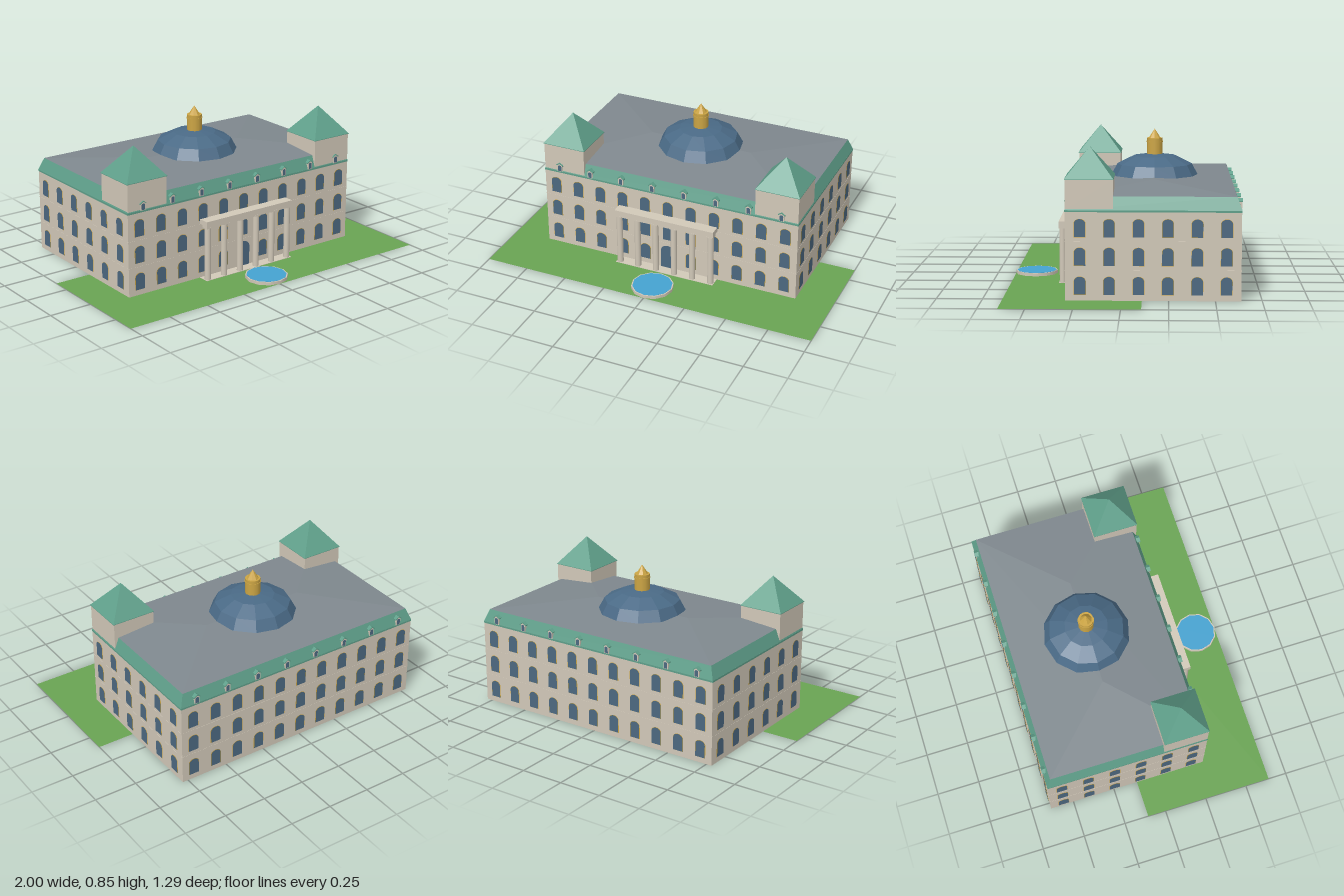
import * as THREE from 'three';

const mat = (name, color, extra = {}) => {
  const m = new THREE.MeshStandardMaterial({ color, ...extra });
  m.name = name;
  return m;
};

// Straight-sided solid between two centred rectangles (half sizes); depth 0 on top makes a ridge
function taperedBlock(w0, d0, y0, w1, d1, y1) {
  const ring = (w, d, y) => [[-w, y, d], [w, y, d], [w, y, -d], [-w, y, -d]];
  const a = ring(w0, d0, y0), b = ring(w1, d1, y1), pos = [];
  for (let i = 0; i < 4; i++) {
    const j = (i + 1) % 4;
    pos.push(...a[i], ...a[j], ...b[j], ...a[i], ...b[j], ...b[i]);
  }
  const g = new THREE.BufferGeometry();
  g.setAttribute('position', new THREE.Float32BufferAttribute(pos, 3));
  g.computeVertexNormals();
  return g;
}

// Opening with a flattened arch, standing on y = 0
function archGeometry(w, h) {
  const s = new THREE.Shape(), r = w / 2, rise = r * 0.8;
  s.moveTo(-r, 0);
  s.lineTo(r, 0);
  s.lineTo(r, h - rise);
  s.absellipse(0, h - rise, r, rise, 0, Math.PI, false);
  s.lineTo(-r, 0);
  return new THREE.ShapeGeometry(s, 8);
}

// Prism along z from a list of corner points
function prism(points, depth) {
  const shape = new THREE.Shape(points.map(p => new THREE.Vector2(...p)));
  return new THREE.ExtrudeGeometry(shape, { depth, bevelEnabled: false });
}

export function createModel() {
  const stone = mat('stone', 0xd1c8b8);
  const copper = mat('green copper', 0x5f9f8a);
  const slate = mat('grey slate', 0x7f888e);
  const domeBlue = mat('dome blue', 0x4a6a86, { flatShading: true, side: THREE.DoubleSide });
  const gold = mat('gold', 0xcca544);
  const glass = mat('window glass', 0x4c6880);
  const grass = mat('lawn green', 0x69a353, { side: THREE.DoubleSide });
  const water = mat('water', 0x45a2d0);

  const model = new THREE.Group();
  model.name = 'palace';
  const add = (parent, name, geo, material, x = 0, y = 0, z = 0) => {
    const m = new THREE.Mesh(geo, material);
    m.name = name;
    m.position.set(x, y, z);
    parent.add(m);
    return m;
  };
  const group = (parent, name, x = 0, y = 0, z = 0, ry = 0) => {
    const g = new THREE.Group();
    g.name = name;
    g.position.set(x, y, z);
    g.rotation.y = ry;
    parent.add(g);
    return g;
  };
  const box = (w, h, d) => new THREE.BoxGeometry(w, h, d);
  const W = 0.784, D = 0.47, CZ = -0.167; // half width, half depth, centre of the building

  // Lawn
  add(model, 'lawn', new THREE.PlaneGeometry(2, 0.75).rotateX(-Math.PI / 2), grass, 0, 0.0005, 0.268);

  // Main block with floor bands
  const building = group(model, 'building', 0, 0, CZ);
  add(building, 'walls', box(W * 2, 0.479, D * 2), stone, 0, 0.2405, 0);
  for (const y of [0.165, 0.32]) {
    add(building, 'floorBand', box(W * 2 + 0.002, 0.005, D * 2 + 0.002), stone, 0, y, 0);
  }

  // Arched windows with slim gold frames, three floors on four sides
  const paneGeo = archGeometry(0.06, 0.097), frameGeo = archGeometry(0.065, 0.1);
  const facade = (name, ry, dist, count, step, hasDoor) => {
    const side = group(building, name, 0, 0, 0, ry);
    [0.034, 0.191, 0.345].forEach((y, floor) => {
      for (let i = 0; i < count; i++) {
        const x = (i - (count - 1) / 2) * step;
        if (hasDoor && floor === 0 && x === 0) continue;
        add(side, 'windowFrame', frameGeo, gold, x, y - 0.0015, dist + 0.002);
        add(side, 'windowPane', paneGeo, glass, x, y, dist + 0.004);
      }
    });
    if (hasDoor) add(side, 'door', archGeometry(0.088, 0.148), glass, 0, 0.003, dist + 0.004);
  };
  facade('frontFacade', 0, D, 11, 0.1425, true);
  facade('backFacade', Math.PI, D, 11, 0.1425, false);
  facade('leftFacade', Math.PI / 2, W, 6, 0.1565, false);
  facade('rightFacade', -Math.PI / 2, W, 6, 0.1565, false);

  // Mansard and low hipped roof
  add(building, 'cornice', box(W * 2 + 0.004, 0.01, D * 2 + 0.004), copper, 0, 0.484, 0);
  add(building, 'mansard', taperedBlock(W + 0.002, D + 0.002, 0.488, 0.758, 0.446, 0.56), copper);
  add(building, 'hippedRoof', taperedBlock(0.758, 0.446, 0.56, 0.312, 0, 0.596), slate);

  // Dormers along the front and back: gabled wall, thin roof, dark pane
  const dormerWall = prism([[-0.015, 0], [0.015, 0], [0.015, 0.04], [0, 0.05], [-0.015, 0.04]], 0.03);
  const dormerRoof = prism([[-0.021, 0.036], [0, 0.05], [0.021, 0.036], [0.021, 0.041], [0, 0.056], [-0.021, 0.041]], 0.038);
  const dormerPane = archGeometry(0.021, 0.036);
  for (const ry of [0, Math.PI]) {
    const row = group(building, 'dormerRow', 0, 0, 0, ry);
    for (let i = 0; i < 8; i++) {
      const d = group(row, 'dormer', (i - 3.5) * 0.196, 0.489, D);
      add(d, 'dormerWall', dormerWall, stone, 0, 0, -0.026);
      add(d, 'dormerRoof', dormerRoof, copper, 0, 0, -0.031);
      add(d, 'dormerPane', dormerPane, glass, 0, 0.003, 0.0055);
    }
  }

  // Corner towers
  for (const s of [-1, 1]) {
    const t = group(model, s > 0 ? 'leftTower' : 'rightTower', s * 0.656, 0, 0.175);
    add(t, 'towerWalls', box(0.254, 0.165, 0.256), stone, 0, 0.5705, 0);
    add(t, 'towerSoffit', box(0.262, 0.003, 0.262), copper, 0, 0.6525, 0);
    add(t, 'towerRoof', taperedBlock(0.131, 0.131, 0.654, 0, 0, 0.817), copper);
  }

  // Faceted dome with lantern
  const dome = group(model, 'dome', 0, 0.588, CZ);
  const shell = new THREE.SphereGeometry(0.249, 12, 3, 0, Math.PI * 2, 0, Math.PI / 2);
  shell.scale(1, 0.5, 1);
  add(dome, 'domeShell', shell, domeBlue);
  add(dome, 'lantern', new THREE.CylinderGeometry(0.044, 0.044, 0.1, 12), gold, 0, 0.161, 0);
  add(dome, 'lanternRing', new THREE.CylinderGeometry(0.047, 0.047, 0.006, 12), gold, 0, 0.19, 0);
  const spire = new THREE.ConeGeometry(0.036, 0.055, 8).toNonIndexed();
  spire.computeVertexNormals();
  add(dome, 'lanternSpire', spire, gold, 0, 0.236, 0);

  // Portico with six columns
  const portico = group(model, 'portico', 0, 0, 0.35);
  add(portico, 'entablature', box(0.612, 0.027, 0.066), stone, 0, 0.34, -0.0125);
  add(portico, 'architrave', box(0.612, 0.014, 0.04), stone, 0, 0.321, 0.0005);
  add(portico, 'step', box(0.612, 0.003, 0.066), stone, 0, 0.0015, -0.0125);
  for (let i = 0; i < 6; i++) {
    const x = (i - 2.5) * 0.114;
    add(portico, 'column', new THREE.CylinderGeometry(0.018, 0.018, 0.316, 12), stone, x, 0.159, 0);
    add(portico, 'capital', box(0.042, 0.008, 0.042), stone, x, 0.316, 0);
  }

  // Round fountain
  const fountain = group(model, 'fountain', 0, 0, 0.522);
  add(fountain, 'basin', new THREE.CylinderGeometry(0.122, 0.122, 0.018, 12), stone, 0, 0.01, 0);
  add(fountain, 'waterSurface', new THREE.CylinderGeometry(0.115, 0.115, 0.003, 12), water, 0, 0.0185, 0);

  return model;
}
